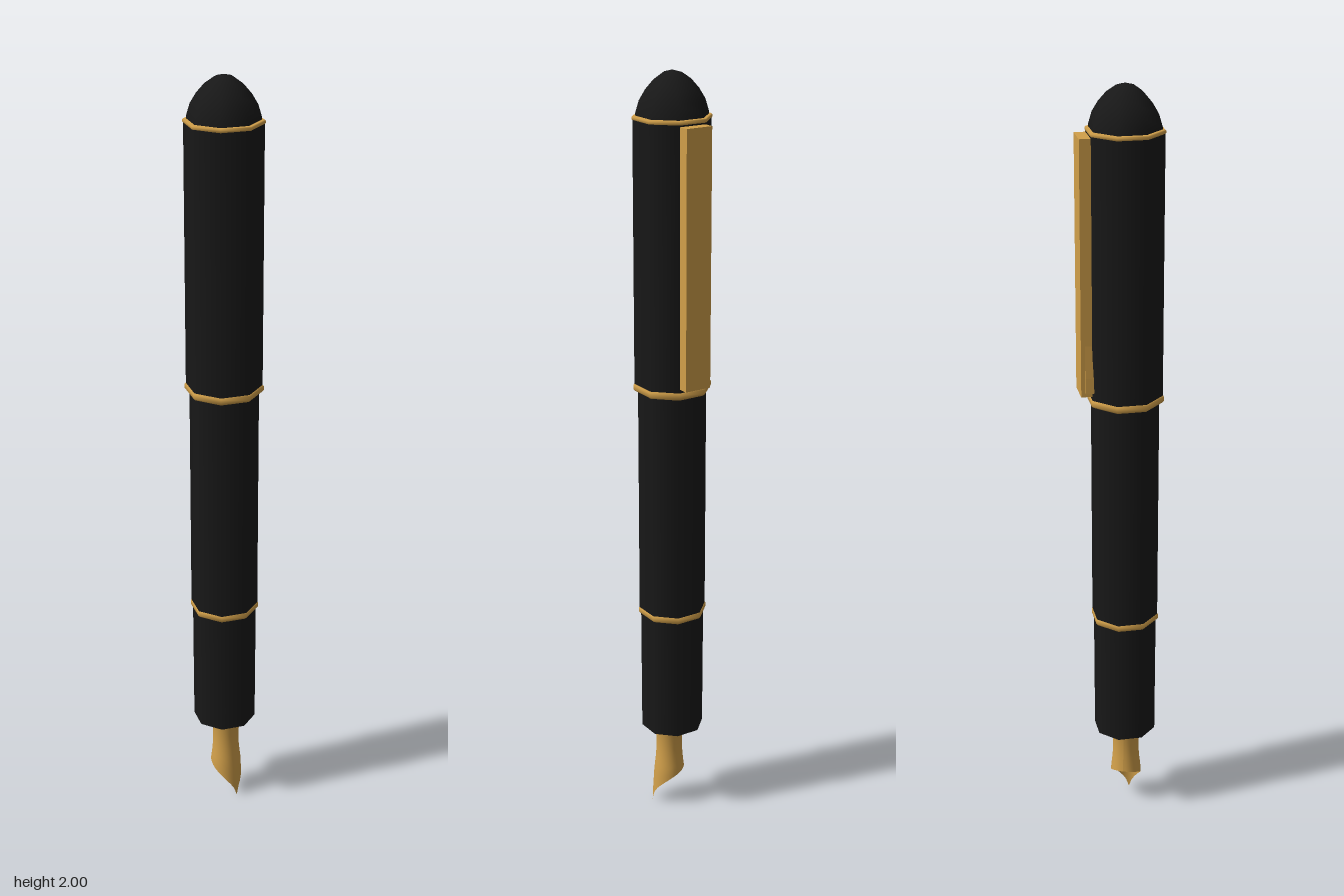
import * as THREE from 'three';

const SIDES = 8;
const black = new THREE.MeshStandardMaterial({ color: 0x181818 });
const gold = new THREE.MeshStandardMaterial({ color: 0xd2a04a });
const goldThin = new THREE.MeshStandardMaterial({ color: 0xd2a04a, side: THREE.DoubleSide });

function add(parent, name, geometry, material) {
  const mesh = new THREE.Mesh(geometry, material);
  mesh.name = name;
  parent.add(mesh);
  return mesh;
}

// Eight-sided section standing between two heights
function section(parent, name, y0, y1, r0, r1, material) {
  const geo = new THREE.CylinderGeometry(r1, r0, y1 - y0, SIDES);
  add(parent, name, geo, material).position.y = (y0 + y1) / 2;
}

// Trim ring with rounded outer edge
function ring(parent, name, y0, y1, r) {
  const b = (y1 - y0) * 0.25;
  const pts = [[0.05, y0], [r - b, y0], [r, y0 + b], [r, y1 - b], [r - b, y1], [0.05, y1]];
  add(parent, name, new THREE.LatheGeometry(pts.map(p => new THREE.Vector2(...p)), SIDES), gold);
}

// Rolled nib: a waisted tube cut away obliquely to a point on the +x side
function nibGeometry() {
  const around = 32, rows = 10, pos = [], index = [];
  for (let i = 0; i <= rows; i++) {
    for (let j = 0; j <= around; j++) {
      const a = (j / around * 2 - 1) * Math.PI;
      const bottom = 0.105 * Math.pow(Math.abs(Math.sin(a / 2)), 0.65);
      const y = 0.25 + (bottom - 0.25) * i / rows;
      const waist = 0.006 * Math.sin(Math.PI * Math.min(1, (0.25 - y) / 0.15));
      const r = 0.041 - waist;
      const lean = y < 0.1 ? (0.1 - y) * 0.06 : 0;
      pos.push(0.008 + r * Math.cos(a) + lean, y, 0.012 + r * Math.sin(a));
    }
  }
  const w = around + 1;
  for (let i = 0; i < rows; i++) {
    for (let j = 0; j < around; j++) {
      const a = i * w + j, b = a + w;
      index.push(a, a + 1, b, b, a + 1, b + 1);
    }
  }
  const geo = new THREE.BufferGeometry();
  geo.setAttribute('position', new THREE.Float32BufferAttribute(pos, 3));
  geo.setIndex(index);
  geo.computeVertexNormals();
  return geo;
}

export function createModel() {
  const model = new THREE.Group();
  model.name = 'fountainPen';
  const pen = new THREE.Group();
  pen.name = 'penBody';
  pen.position.z = 0.01;
  model.add(pen);

  // Grip, barrel and cap
  section(pen, 'grip', 0.24, 0.58, 0.083, 0.084, black);
  section(pen, 'barrel', 0.59, 1.21, 0.088, 0.088, black);
  section(pen, 'cap', 1.21, 1.888, 0.097, 0.097, black);

  // Domed finial
  const dome = [[0.091, 1.885], [0.09, 1.9], [0.081, 1.93], [0.066, 1.955],
    [0.046, 1.978], [0.023, 1.994], [0, 2]].map(p => new THREE.Vector2(...p));
  add(pen, 'finial', new THREE.LatheGeometry(dome, SIDES), black);

  // Trim rings
  ring(pen, 'barrelRing', 0.576, 0.598, 0.09);
  ring(pen, 'capRing', 1.2, 1.222, 0.1);
  ring(pen, 'finialRing', 1.883, 1.894, 0.099);

  // Clip, lying on the rear face beside the back corner
  const clip = new THREE.Group();
  clip.name = 'clip';
  clip.rotation.y = Math.PI * 9 / 8;
  pen.add(clip);
  add(clip, 'clipBar', new THREE.BoxGeometry(0.072, 0.65, 0.03), gold).position.set(0, 1.555, 0.103);

  // Small flared foot near the lower end of the clip
  const foot = new THREE.Shape([[0.02, 1.24], [0.041, 1.24], [0.04, 1.28], [0.035, 1.385], [0.02, 1.385]]
    .map(p => new THREE.Vector2(...p)));
  add(clip, 'clipFoot', new THREE.ExtrudeGeometry(foot, { depth: 0.022, bevelEnabled: false }), gold)
    .position.z = 0.086;

  // Nib
  add(model, 'nib', nibGeometry(), goldThin);
  return model;
}
